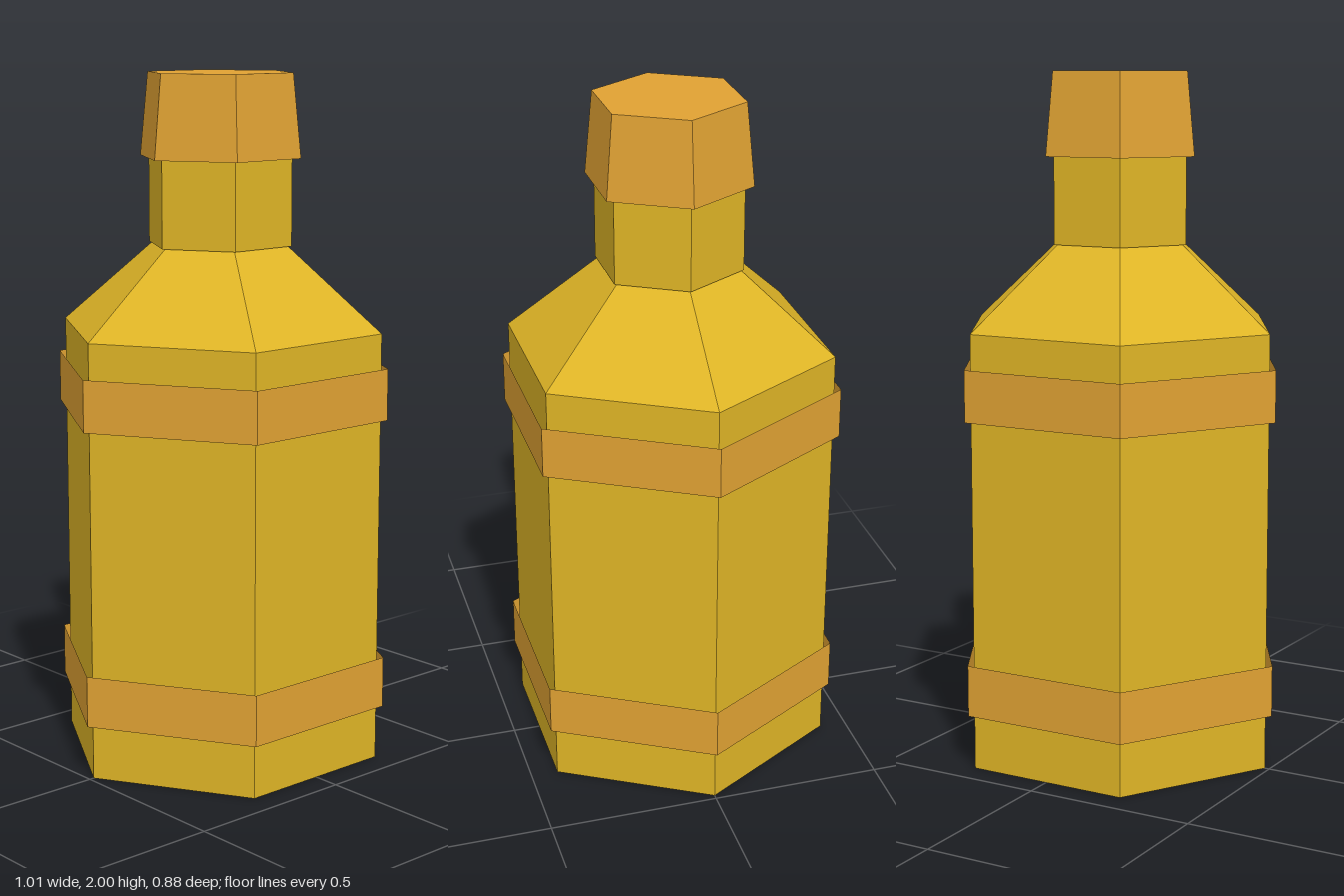
import * as THREE from 'three';

export function createModel() {
  const bottle = new THREE.Group();
  bottle.name = 'bottle';

  const glass = new THREE.MeshStandardMaterial({ color: 0xdfb526, flatShading: true, side: THREE.DoubleSide });
  glass.name = 'yellow glass';
  const trim = new THREE.MeshStandardMaterial({ color: 0xe0a233, flatShading: true, side: THREE.DoubleSide });
  trim.name = 'orange trim';

  // Six-sided section from y0 to y1 with corners pointing along x
  function hexSection(name, material, y0, y1, r0, r1, open) {
    const geometry = new THREE.CylinderGeometry(r1, r0, y1 - y0, 6, 1, open, Math.PI / 6);
    geometry.translate(0, (y0 + y1) / 2, 0);
    const mesh = new THREE.Mesh(geometry, material);
    mesh.name = name;
    bottle.add(mesh);
    return mesh;
  }

  // Body: straight walls, closed base
  hexSection('body', glass, 0, 1.27, 0.486, 0.486, true);
  const base = new THREE.Mesh(new THREE.CircleGeometry(0.486, 6), glass);
  base.name = 'base';
  base.rotation.x = Math.PI / 2;
  bottle.add(base);

  // Sloping shoulder and the slightly wider open neck
  hexSection('shoulder', glass, 1.27, 1.515, 0.486, 0.2, true);
  hexSection('neck', glass, 1.51, 1.765, 0.217, 0.217, true);

  // Open bands wrapped around the body
  hexSection('lowerBand', trim, 0.16, 0.31, 0.506, 0.506, true);
  hexSection('upperBand', trim, 1.02, 1.17, 0.506, 0.506, true);

  // Tapered stopper
  hexSection('stopper', trim, 1.76, 2, 0.243, 0.219, false);

  return bottle;
}
